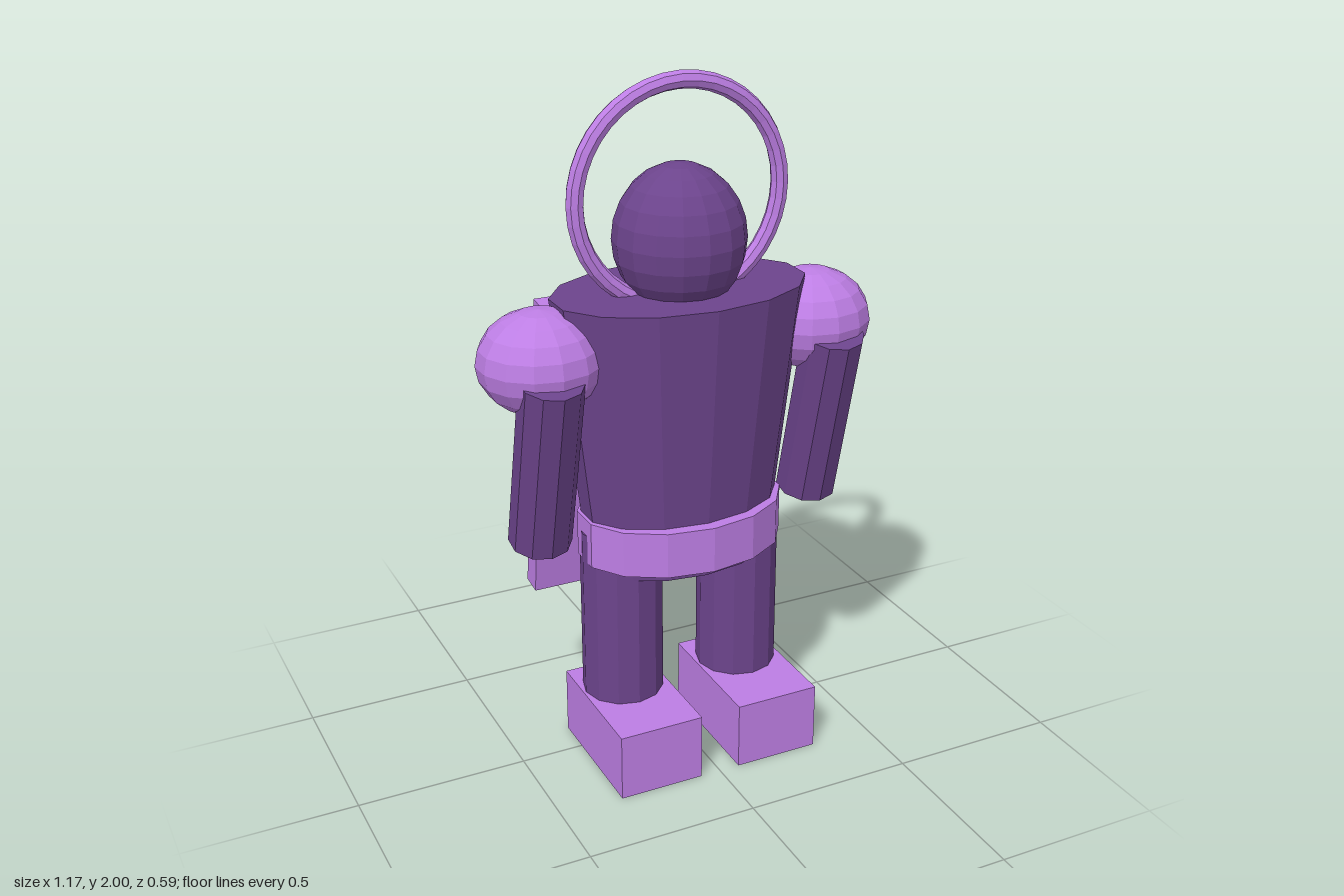
import * as THREE from 'three';

const DARK = new THREE.MeshStandardMaterial({ color: 0x6c448c, flatShading: true });
const LIGHT = new THREE.MeshStandardMaterial({ color: 0xbd7ee4, flatShading: true });
const MID_Z = 0.023; // depth of the body's axis

export function createModel() {
  const model = new THREE.Group();
  model.name = 'figure';

  const add = (name, geometry, material, x, y, z, tiltX = 0) => {
    const mesh = new THREE.Mesh(geometry, material);
    mesh.name = name;
    mesh.position.set(x, y, z);
    mesh.rotation.x = tiltX;
    model.add(mesh);
    return mesh;
  };

  // Oval, tapered torso and the belt around its lower end
  add('torso', new THREE.CylinderGeometry(0.375, 0.277, 0.81, 14).scale(1, 1, 0.635),
    DARK, 0, 1.005, MID_Z);
  add('belt', new THREE.CylinderGeometry(0.308, 0.308, 0.135, 14).scale(1, 1, 0.72),
    LIGHT, 0, 0.7025, MID_Z + 0.004);

  // Head and the ring behind it
  add('head', new THREE.SphereGeometry(0.186, 16, 12).scale(1, 1.12, 1), DARK, 0, 1.547, MID_Z);
  add('halo', new THREE.TorusGeometry(0.305, 0.025, 8, 40), LIGHT, 0, 1.67, MID_Z);

  // Stiff cape slanting away from the back
  add('cape', new THREE.BoxGeometry(0.712, 0.945, 0.065), LIGHT, 0, 0.895, -0.198, 0.14);

  // Paired limbs
  for (const [side, s] of [['left', 1], ['right', -1]]) {
    add(side + 'Shoulder',
      new THREE.SphereGeometry(0.17, 14, 10).rotateY(Math.PI / 2).scale(1.04, 0.86, 0.99),
      LIGHT, s * 0.414, 1.259, MID_Z);
    add(side + 'Arm', new THREE.CylinderGeometry(0.09, 0.09, 0.535, 10),
      DARK, s * 0.427, 0.982, 0.074, 0.24);
    add(side + 'Leg', new THREE.CylinderGeometry(0.119, 0.119, 0.718, 12),
      DARK, s * 0.187, 0.361, 0.026);
    add(side + 'Boot', new THREE.BoxGeometry(0.253, 0.2, 0.404), LIGHT, s * 0.187, 0.1, 0.095);
  }

  return model;
}
